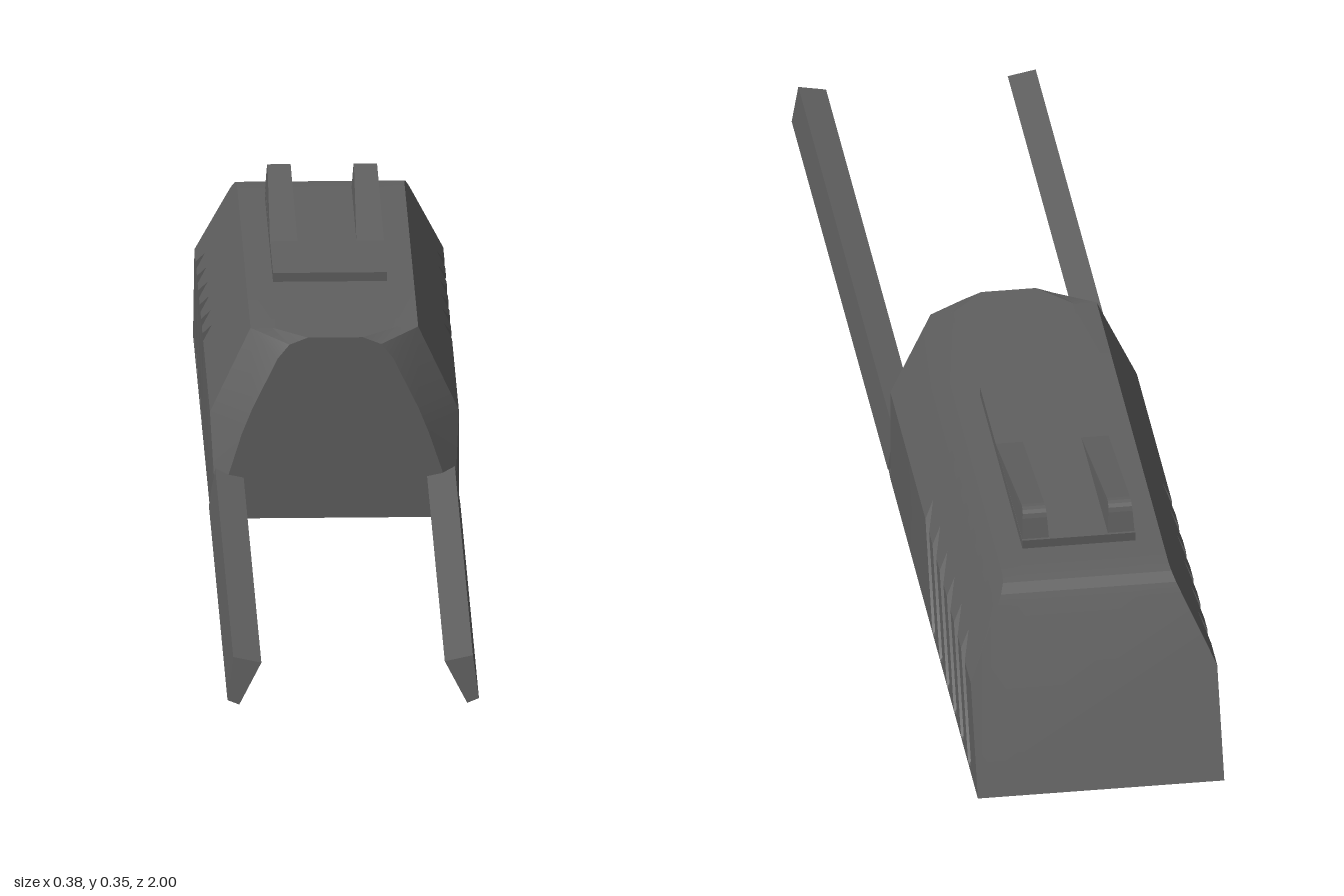
import * as THREE from 'three';
import { toCreasedNormals } from 'three/addons/utils/BufferGeometryUtils.js';

const material = new THREE.MeshStandardMaterial({ color: 0x606060 });

function addMesh(group, name, geometry) {
  const mesh = new THREE.Mesh(geometry, material);
  mesh.name = name;
  group.add(mesh);
  return mesh;
}

// Skins a row of closed sections (running towards -z) and caps both ends
function loft(sections) {
  const pos = [];
  const tri = (a, b, c) => pos.push(...a, ...b, ...c);
  const reach = (p, q) => Math.hypot(p[0] + q[0], p[1] + q[1]);
  const n = sections[0].length;
  for (let i = 0; i < sections.length - 1; i++) {
    for (let j = 0; j < n; j++) {
      const k = (j + 1) % n;
      const a = sections[i][j], b = sections[i][k];
      const c = sections[i + 1][k], d = sections[i + 1][j];
      // Split along the outer diagonal, so both sides stay convex and mirrored
      if (reach(a, c) > reach(b, d)) {
        tri(a, d, c);
        tri(a, c, b);
      } else {
        tri(a, d, b);
        tri(b, d, c);
      }
    }
  }
  const first = sections[0], last = sections[sections.length - 1];
  for (let j = 1; j < n - 1; j++) {
    tri(first[0], first[j], first[j + 1]);
    tri(last[0], last[j + 1], last[j]);
  }
  const g = new THREE.BufferGeometry();
  g.setAttribute('position', new THREE.Float32BufferAttribute(pos, 3));
  return toCreasedNormals(g, 0.4);
}

// Half profiles of the housing, bottom to top
const FRONT = [[0.188, 0], [0.182, 0.015], [0.143, 0.14], [0.127, 0.18], [0.088, 0.26], [0.07, 0.282], [0.042, 0.293]];
const FULL = [[0.19, 0], [0.19, 0.015], [0.19, 0.16], [0.177, 0.188], [0.128, 0.293], [0.095, 0.293], [0.06, 0.293]];
const GROOVE = [[0.19, 0], [0.176, 0.018], [0.176, 0.16], ...FULL.slice(3)];

// Mirrors a half profile; slant leans the section back towards its foot,
// and the underside rises slightly towards the front
function section(half, z, slant = 0) {
  const right = half.map(([x, y]) => {
    const zz = z - slant * (0.293 - y);
    return [x, y || 0.006 * (1 + zz), zz];
  });
  const left = right.map(([x, y, zz]) => [-x, y, zz]).reverse();
  return [...right, ...left];
}

// Lowers the roof of the full profile to y
function lowered(y) {
  const x = 0.128 + (0.293 - y) * 0.466;
  return [...FULL.slice(0, 4), [x, y], [0.095, y], [0.06, y]];
}

function housing() {
  const slant = 0.48;
  const rows = [section(FRONT, 0), section(FULL, -0.055)];
  // Six slanted saw-tooth grip grooves on each side
  for (let i = 0; i < 6; i++) {
    const z = -0.37 - i * 0.077;
    rows.push(section(FULL, z, slant), section(GROOVE, z - 0.005, slant), section(FULL, z - 0.04, slant));
  }
  // Softened rear roof edge
  rows.push(
    section(FULL, -0.832, slant),
    section(lowered(0.289), -0.848, slant),
    section(lowered(0.278), -0.858, slant),
    section(lowered(0.262), -0.86, slant)
  );
  return loft(rows);
}

// Rising sight fin, narrowing slightly with height
function fin() {
  const s = new THREE.Shape();
  s.moveTo(0.47, 0.3);
  s.lineTo(0.47, 0.307);
  s.lineTo(0.725, 0.351);
  s.quadraticCurveTo(0.743, 0.354, 0.747, 0.338);
  s.lineTo(0.757, 0.3);
  const g = new THREE.ExtrudeGeometry(s, { depth: 0.042, bevelEnabled: false, curveSegments: 4 });
  g.translate(0, 0, -0.021);
  g.rotateY(Math.PI / 2);
  const p = g.attributes.position;
  for (let i = 0; i < p.count; i++) {
    const t = Math.max(0, (p.getY(i) - 0.307) / 0.045);
    p.setX(i, p.getX(i) * (1 - 0.16 * t));
  }
  g.computeVertexNormals();
  return g;
}

// Long leaning bar with a slightly raked tip
function arm(side) {
  const pts = [[0.14, 0.071], [0.183, 0.08], [0.192, 0.014], [0.174, 0.007]];
  const shape = new THREE.Shape(pts.map(([x, y]) => new THREE.Vector2(x * side, y)));
  const g = new THREE.ExtrudeGeometry(shape, { depth: 1.03, bevelEnabled: false });
  g.translate(0, 0, -0.04);
  const p = g.attributes.position;
  for (let i = 0; i < p.count; i++) {
    if (p.getZ(i) > 0.5) p.setZ(i, 1 - p.getY(i) * 0.13);
  }
  g.computeVertexNormals();
  return g;
}

export function createModel() {
  const model = new THREE.Group();
  model.name = 'slideHousing';

  addMesh(model, 'housing', housing());

  // Raised plate on the roof
  const plate = addMesh(model, 'sightPlate', new THREE.BoxGeometry(0.174, 0.02, 0.46));
  plate.position.set(0, 0.297, -0.53);

  for (const side of [1, -1]) {
    const label = side > 0 ? 'left' : 'right';
    addMesh(model, label + 'SightFin', fin()).position.x = side * 0.066;
    addMesh(model, label + 'Arm', arm(side));
  }
  return model;
}
